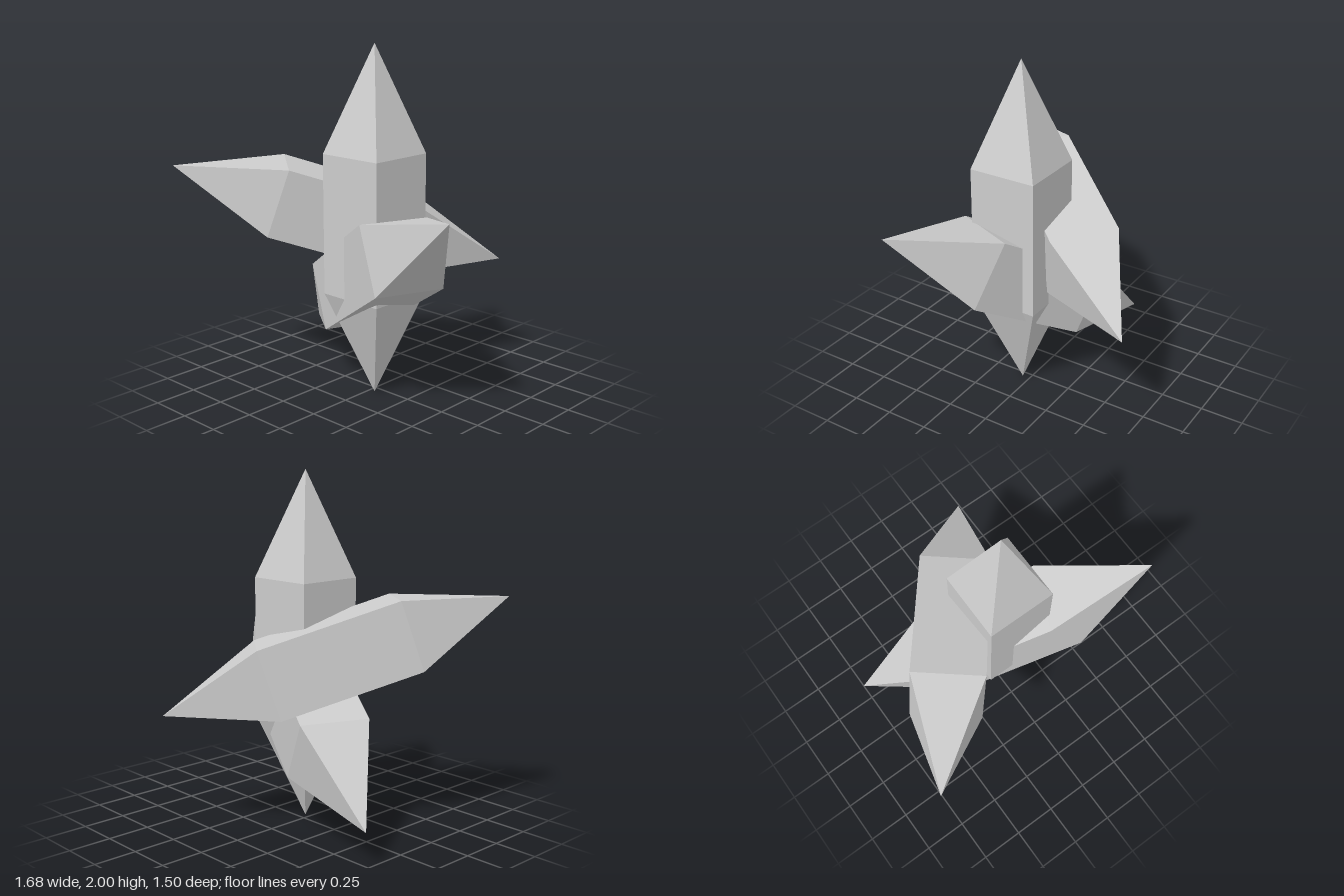
import * as THREE from 'three';

// Square prism with a pyramid at each end, 2 long and 0.4 wide, along y
function crystalGeometry() {
  const r = 0.2 * Math.SQRT2;
  const profile = [[0, -1], [r, -0.4], [r, 0.4], [0, 1]].map(([x, y]) => new THREE.Vector2(x, y));
  return new THREE.LatheGeometry(profile, 4, Math.PI / 4);
}

export function createModel() {
  const group = new THREE.Group();
  const stone = new THREE.MeshStandardMaterial({ color: 0xcccccc, flatShading: true });
  stone.name = 'pale grey stone';
  const geometry = crystalGeometry();

  // Each crystal: lower tip, upper tip and the direction of one side
  const crystals = [
    ['uprightCrystal', [0.037, 0, 0.047], [0.037, 2, 0.047], [1, 0, 0]],
    ['rearCrystal', [0.315, 0.69, -0.75], [-0.84, 1.318, 0.75], [0.31, -0.0175, 0.2525]],
    ['frontCrystal', [-0.76, 0.205, -0.282], [0.833, 1.2, 0.378], [-0.154, 0, 0.37]],
  ];

  for (const [name, low, high, sideHint] of crystals) {
    const a = new THREE.Vector3(...low);
    const b = new THREE.Vector3(...high);
    const axis = b.clone().sub(a).normalize();
    const depth = new THREE.Vector3(...sideHint).cross(axis).normalize();
    const side = axis.clone().cross(depth);

    const mesh = new THREE.Mesh(geometry, stone);
    mesh.name = name;
    mesh.quaternion.setFromRotationMatrix(new THREE.Matrix4().makeBasis(side, axis, depth));
    mesh.position.copy(a).add(b).multiplyScalar(0.5);
    group.add(mesh);
  }
  return group;
}
